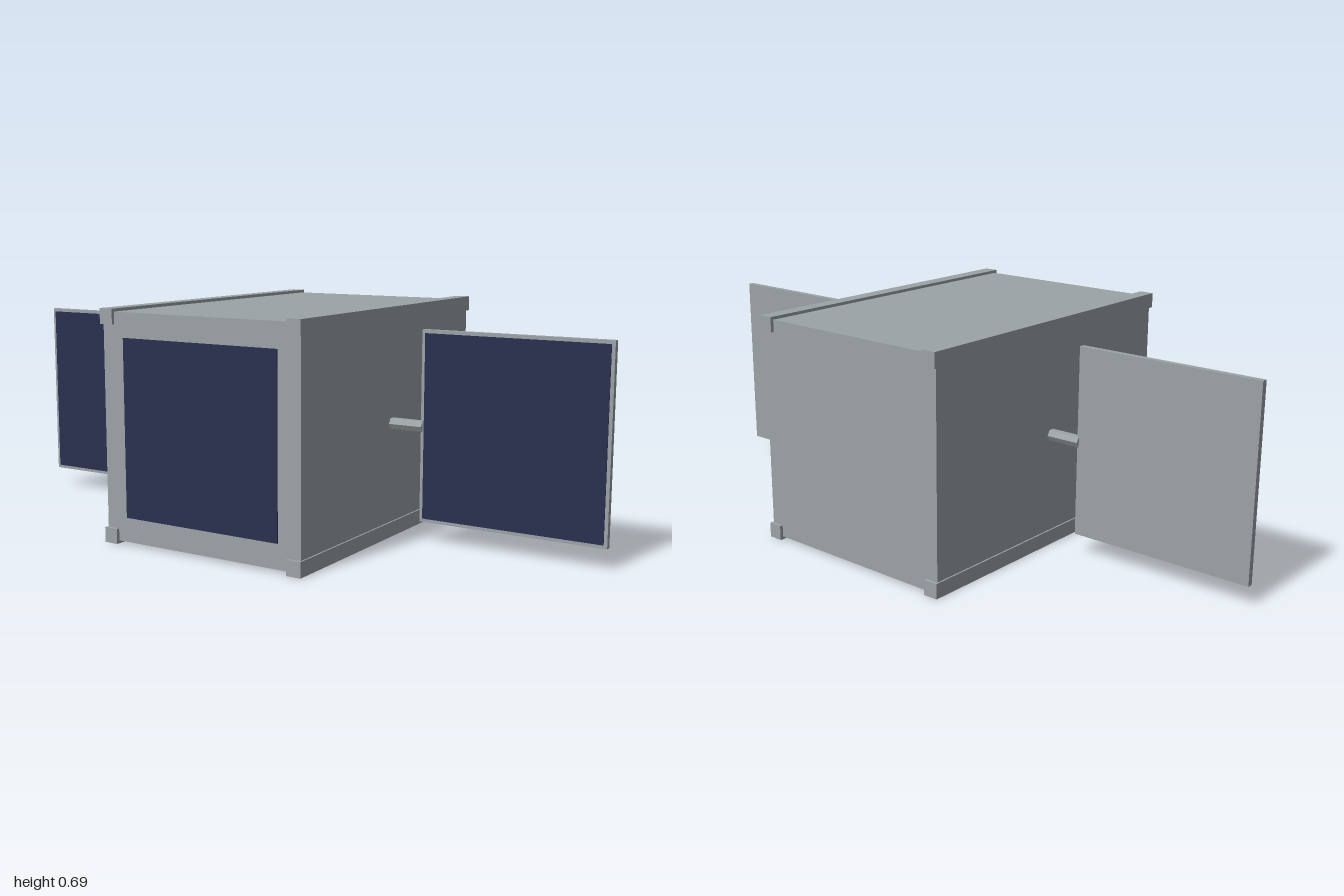
import * as THREE from 'three';

export function createModel() {
  const model = new THREE.Group();
  const grey = new THREE.MeshStandardMaterial({ color: 0x9ca3a6, flatShading: true });
  grey.name = 'hull grey';
  const navy = new THREE.MeshStandardMaterial({ color: 0x2a3150, flatShading: true });
  navy.name = 'solar navy';

  const midY = 0.344;

  function add(name, geometry, material, x, y, z) {
    const mesh = new THREE.Mesh(geometry, material);
    mesh.name = name;
    mesh.position.set(x, y, z);
    model.add(mesh);
    return mesh;
  }
  const box = (w, h, d) => new THREE.BoxGeometry(w, h, d);

  // Main body with a dark front plate
  add('body', box(0.67, 0.67, 1), grey, 0, midY, 0);
  add('frontPlate', box(0.524, 0.524, 0.006), navy, 0, midY, 0.5);

  for (const side of [-1, 1]) {
    const name = side > 0 ? 'left' : 'right';

    // Square rails along the long edges
    for (const level of [-1, 1]) {
      add(`${name}${level > 0 ? 'Upper' : 'Lower'}Rail`, box(0.045, 0.045, 1.02), grey,
        side * 0.3175, midY + level * 0.3215, 0);
    }

    // Six-sided strut carrying the wing panel
    const strut = new THREE.CylinderGeometry(0.018, 0.018, 0.11, 6);
    strut.rotateZ(Math.PI / 2);
    add(`${name}Strut`, strut, grey, side * 0.385, midY, 0);

    // Wing panel with dark cells on its front
    add(`${name}Panel`, box(0.565, 0.565, 0.018), grey, side * 0.7175, midY, 0);
    add(`${name}PanelCells`, box(0.545, 0.545, 0.004), navy, side * 0.7175, midY, 0.009);
  }
  return model;
}
